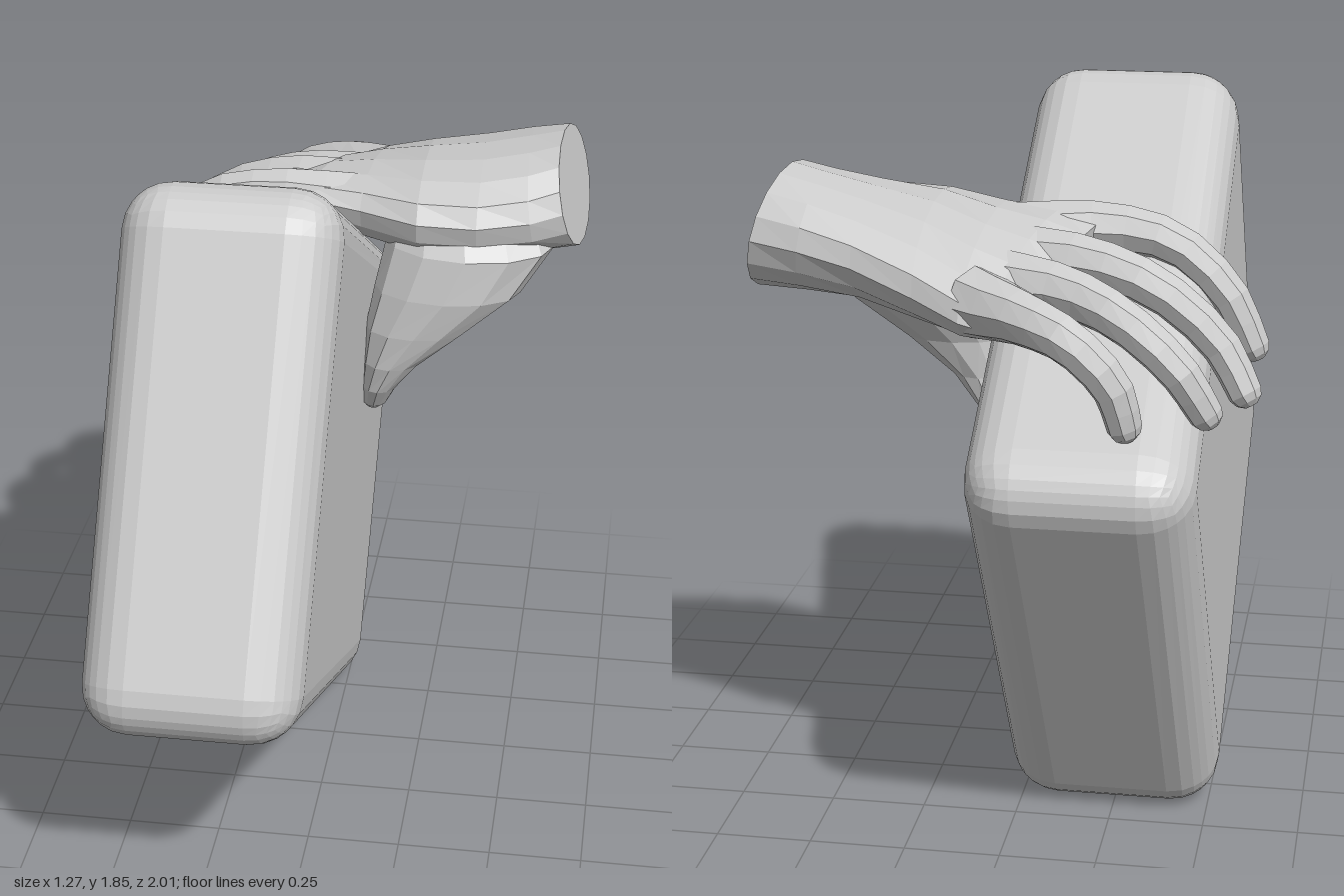
import * as THREE from 'three';
import { RoundedBoxGeometry } from 'three/addons/geometries/RoundedBoxGeometry.js';

const V = (x, y, z) => new THREE.Vector3(x, y, z);
const material = new THREE.MeshStandardMaterial({ color: 0xcccccc, flatShading: true });

function part(name, geometry) {
  const mesh = new THREE.Mesh(geometry, material);
  mesh.name = name;
  return mesh;
}

// Skin over elliptical sections { c: centre, w, t: half axes }, with w x t pointing along the path
function loft(sections, sides) {
  const points = [];
  const index = [];
  for (const { c, w, t } of sections) {
    for (let j = 0; j < sides; j++) {
      const a = (j / sides) * Math.PI * 2;
      points.push(c.clone().addScaledVector(w, Math.cos(a)).addScaledVector(t, Math.sin(a)));
    }
  }
  const last = sections.length - 1;
  const start = points.push(sections[0].c) - 1;
  const end = points.push(sections[last].c) - 1;
  for (let j = 0; j < sides; j++) {
    const k = (j + 1) % sides;
    for (let i = 0; i < last; i++) {
      const a = i * sides, b = a + sides;
      index.push(a + j, a + k, b + k, a + j, b + k, b + j);
    }
    index.push(start, k, j, end, last * sides + j, last * sides + k);
  }
  const geometry = new THREE.BufferGeometry().setFromPoints(points);
  geometry.setIndex(index);
  geometry.computeVertexNormals();
  return geometry;
}

// Tapered finger along a curve, with a rounded tip
function finger(path, radii, sides = 8, steps = 9) {
  const curve = new THREE.CatmullRomCurve3(path.map((p) => V(...p)));
  const sections = [];
  const add = (u, scale, push) => {
    const f = u * (radii.length - 1);
    const i = Math.min(Math.floor(f), radii.length - 2);
    const r = THREE.MathUtils.lerp(radii[i], radii[i + 1], f - i);
    const d = curve.getTangent(u);
    const w = V(0, 0, 1).addScaledVector(d, -d.z).normalize();
    const t = d.clone().cross(w);
    sections.push({
      c: curve.getPoint(u).addScaledVector(d, push * r),
      w: w.multiplyScalar(r * scale),
      t: t.multiplyScalar(r * scale),
    });
  };
  for (let i = 0; i <= steps; i++) add(i / steps, 1, 0);
  add(1, 0.8, 0.45);
  add(1, 0.4, 0.75);
  return loft(sections, sides);
}

// Thick rounded slab: a rounded box stretched onto four corners in the side plane
function slabGeometry() {
  const [thick, high, deep] = [0.56, 1.4, 1.5];
  const geometry = new RoundedBoxGeometry(thick, high, deep, 3, 0.13);
  const backLow = V(0, -0.05, -0.375), frontLow = V(0, 0.665, 1.055);
  const backTop = V(0, 1.09, -1.05), frontTop = V(0, 1.895, 0.4);
  const p = geometry.attributes.position;
  for (let i = 0; i < p.count; i++) {
    const s = p.getZ(i) / deep + 0.5;
    const t = p.getY(i) / high + 0.5;
    const q = backLow.clone().lerp(frontLow, s).lerp(backTop.clone().lerp(frontTop, s), t);
    // slight lean to one side
    p.setXYZ(i, p.getX(i) - 0.225 + 0.025 * (q.y - 0.9), q.y, q.z);
  }
  geometry.computeVertexNormals();
  return geometry;
}

export function createModel() {
  const group = new THREE.Group();
  group.add(part('slab', slabGeometry()));

  const hand = new THREE.Group();
  hand.name = 'hand';
  group.add(hand);

  // Palm from the cut wrist to the knuckles
  hand.add(part('palm', loft([
    { c: V(0.605, 1.575, -0.455), w: V(-0.02, 0, 0.225), t: V(-0.035, 0.155, 0) },
    { c: V(0.5, 1.56, -0.45), w: V(0, 0, 0.26), t: V(-0.02, 0.148, -0.01) },
    { c: V(0.36, 1.54, -0.445), w: V(0, 0.01, 0.29), t: V(0, 0.14, -0.02) },
    { c: V(0.2, 1.515, -0.465), w: V(0, 0.04, 0.315), t: V(0, 0.135, -0.03) },
    { c: V(0.06, 1.495, -0.52), w: V(-0.02, 0.065, 0.305), t: V(0, 0.115, -0.03) },
    { c: V(-0.05, 1.49, -0.535), w: V(-0.06, 0.08, 0.285), t: V(0, 0.09, -0.03) },
    { c: V(-0.14, 1.495, -0.515), w: V(-0.08, 0.08, 0.235), t: V(0, 0.045, -0.02) },
  ], 16)));

  // Fingers draped over the top edge of the slab
  const fingers = {
    indexFinger: [[0.02, 1.53, -0.34], [-0.2, 1.56, -0.325], [-0.38, 1.53, -0.335], [-0.52, 1.41, -0.35], [-0.59, 1.27, -0.355]],
    middleFinger: [[0.02, 1.51, -0.48], [-0.18, 1.52, -0.525], [-0.36, 1.47, -0.56], [-0.52, 1.34, -0.575], [-0.59, 1.22, -0.595]],
    ringFinger: [[0.04, 1.48, -0.61], [-0.15, 1.48, -0.67], [-0.3, 1.43, -0.73], [-0.44, 1.32, -0.765], [-0.51, 1.21, -0.755]],
    littleFinger: [[0.06, 1.46, -0.73], [-0.08, 1.45, -0.83], [-0.2, 1.41, -0.885], [-0.3, 1.31, -0.895], [-0.33, 1.21, -0.885]],
  };
  for (const [name, path] of Object.entries(fingers)) {
    hand.add(part(name, finger(path, [0.09, 0.066, 0.055, 0.05, 0.043])));
  }

  // Thumb with its broad mound: level sections [x, y, z, half depth, half width], running downward
  const thumb = [
    [0.32, 1.56, -0.36, 0.14, 0.2], [0.335, 1.46, -0.29, 0.155, 0.23], [0.28, 1.34, -0.235, 0.12, 0.2],
    [0.2, 1.23, -0.205, 0.09, 0.14], [0.135, 1.13, -0.2, 0.078, 0.08], [0.1, 1.05, -0.21, 0.07, 0.05],
    [0.085, 0.99, -0.225, 0.05, 0.035], [0.08, 0.97, -0.23, 0.025, 0.02],
  ];
  hand.add(part('thumb', loft(thumb.map(([x, y, z, depth, width]) => (
    { c: V(x, y, z), w: V(0, 0, depth), t: V(-width, 0, 0) })), 12)));

  return group;
}
